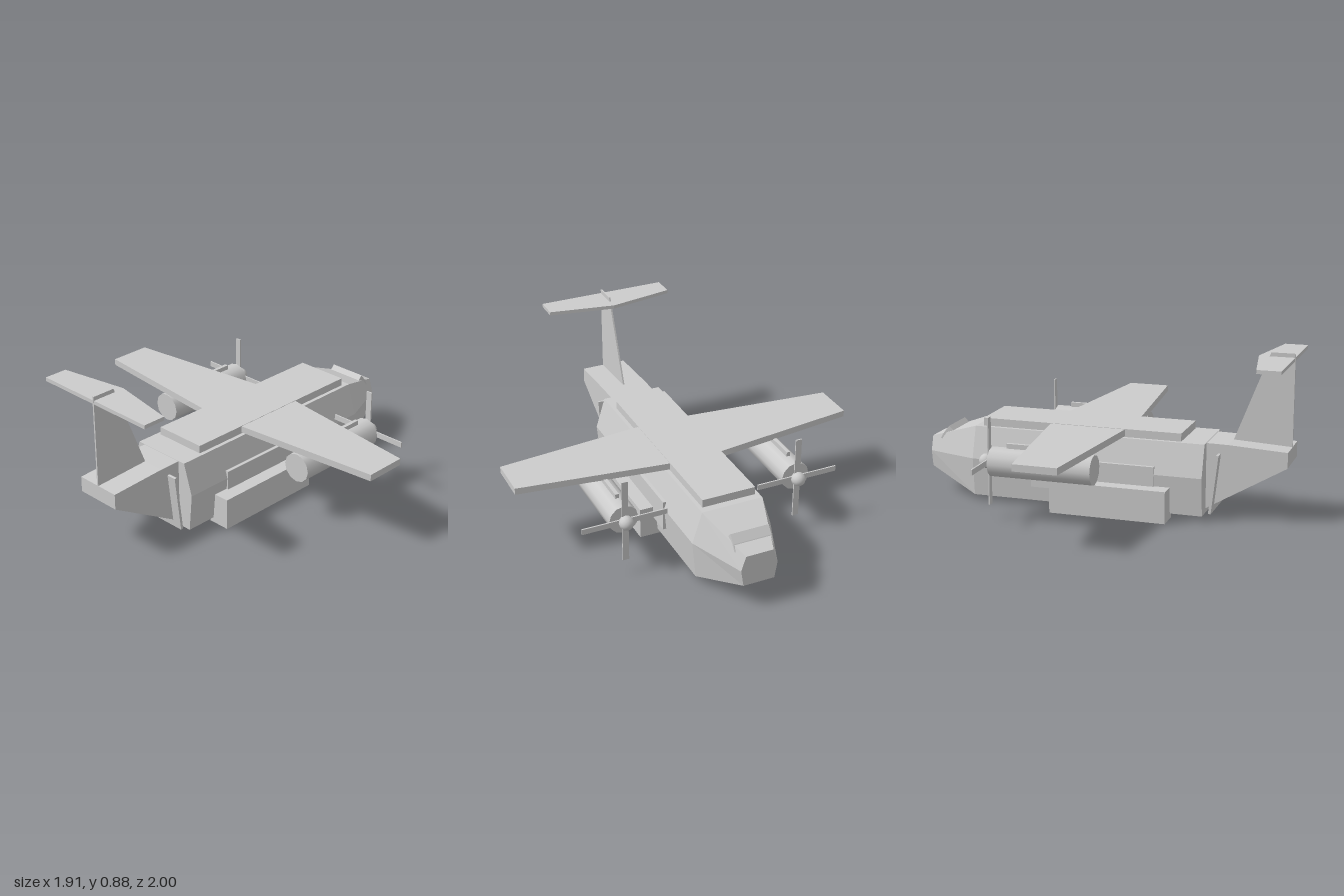
import * as THREE from 'three';

export function createModel() {
  const model = new THREE.Group();
  model.name = 'cargoPlane';
  const grey = new THREE.MeshStandardMaterial({ color: 0xcccccc });
  grey.name = 'light grey';

  const add = (name, geo, x = 0, y = 0, z = 0, parent = model) => {
    const m = new THREE.Mesh(geo, grey);
    m.name = name;
    m.position.set(x, y, z);
    parent.add(m);
    return m;
  };
  // box given by its extents
  const block = (name, x0, x1, y0, y1, z0, z1, parent = model) =>
    add(name, new THREE.BoxGeometry(Math.abs(x1 - x0), y1 - y0, z1 - z0),
      (x0 + x1) / 2, (y0 + y1) / 2, (z0 + z1) / 2, parent);
  const extrude = (pts, depth) => {
    const shape = new THREE.Shape(pts.map(p => new THREE.Vector2(p[0], p[1])));
    return new THREE.ExtrudeGeometry(shape, { depth, bevelEnabled: false })
      .translate(0, 0, -depth / 2);
  };
  // side outline [z, y] given a width along x
  const sidePrism = (pts, width) => extrude(pts, width).rotateY(-Math.PI / 2);
  // plan outline [x, z] given a thickness along y
  const planPrism = (pts, thick) => extrude(pts, thick).rotateX(Math.PI / 2);

  // six-sided cross-section, counter-clockwise seen from +z
  const section = (z, bx, by, mx, my, tx, ty) =>
    [[-bx, by, z], [bx, by, z], [mx, my, z], [tx, ty, z], [-tx, ty, z], [-mx, my, z]];
  // flat-sided hull through sections ordered from nose to tail
  const hull = (sections) => {
    const pos = [];
    const tri = (a, b, c) => pos.push(...a, ...b, ...c);
    for (let s = 0; s < sections.length - 1; s++) {
      const A = sections[s], B = sections[s + 1];
      for (let i = 0; i < 6; i++) {
        const j = (i + 1) % 6;
        tri(A[i], A[j], B[j]);
        tri(A[i], B[j], B[i]);
      }
    }
    const first = sections[0], last = sections[sections.length - 1];
    for (let i = 1; i < 5; i++) {
      tri(first[0], first[i + 1], first[i]);
      tri(last[0], last[i], last[i + 1]);
    }
    const g = new THREE.BufferGeometry();
    g.setAttribute('position', new THREE.Float32BufferAttribute(pos, 3));
    g.computeVertexNormals();
    return g;
  };

  // fuselage with tapered nose
  add('fuselage', hull([
    section(-1, 0.085, 0.135, 0.1, 0.225, 0.075, 0.305),
    section(-0.7, 0.2, 0.028, 0.22, 0.235, 0.168, 0.405),
    section(0.575, 0.2, 0.028, 0.22, 0.235, 0.168, 0.405)
  ]));
  add('windscreen', sidePrism(
    [[-0.84, 0.345], [-0.86, 0.347], [-0.887, 0.375], [-0.92, 0.335], [-0.94, 0.3], [-0.84, 0.3]], 0.21));

  // upswept tail and the slanted frame at its root
  add('tailBoom', sidePrism(
    [[0.56, 0.404], [0.69, 0.402], [1, 0.386], [1, 0.303], [0.575, 0.052], [0.56, 0.052]], 0.254));
  add('rampFrame', sidePrism(
    [[0.602, 0.04], [0.616, 0.038], [0.652, 0.352], [0.638, 0.354]], 0.36));

  // T-tail
  add('fin', sidePrism([[0.69, 0.4], [0.875, 0.875], [1, 0.875], [1, 0.38], [0.69, 0.39]], 0.009));
  add('tailplane', planPrism(
    [[0, 0.81], [0.362, 0.875], [0.362, 0.998], [-0.362, 0.998], [-0.362, 0.875]], 0.02), 0, 0.844, 0);

  // wing and raised spine
  add('wing', planPrism([
    [-0.955, -0.17], [-0.145, -0.275], [0.145, -0.275], [0.955, -0.17],
    [0.955, 0.06], [0.145, 0.14], [-0.145, 0.14], [-0.955, 0.06]], 0.036), 0, 0.428, 0);
  block('roofSpine', -0.147, 0.147, 0.4, 0.448, -0.66, 0.445);

  for (const s of [-1, 1]) {
    const side = s > 0 ? 'left' : 'right';

    // wheel housings and side panels
    block(side + 'Sponson', s * 0.175, s * 0.3, 0, 0.172, -0.23, 0.403);
    block(side + 'SidePanel', s * 0.18, s * 0.226, 0.11, 0.277, -0.36, 0.32);

    // engine, pylon and propeller
    const engine = new THREE.Group();
    engine.name = side + 'Engine';
    engine.position.set(s * 0.49, 0.312, 0);
    model.add(engine);
    add('nacelle', new THREE.CylinderGeometry(0.079, 0.079, 0.555, 12).rotateX(Math.PI / 2),
      0, 0, -0.19, engine);
    block('pylon', -0.01, 0.01, 0.05, 0.102, -0.385, -0.085, engine);
    add('spinner', new THREE.SphereGeometry(0.039, 12, 8).rotateX(Math.PI / 2), 0, 0, -0.5, engine);
    block('verticalBlades', -0.017, 0.017, -0.232, 0.232, -0.488, -0.48, engine);
    block('horizontalBlades', -0.232, 0.232, -0.015, 0.015, -0.488, -0.48, engine);
  }
  return model;
}
